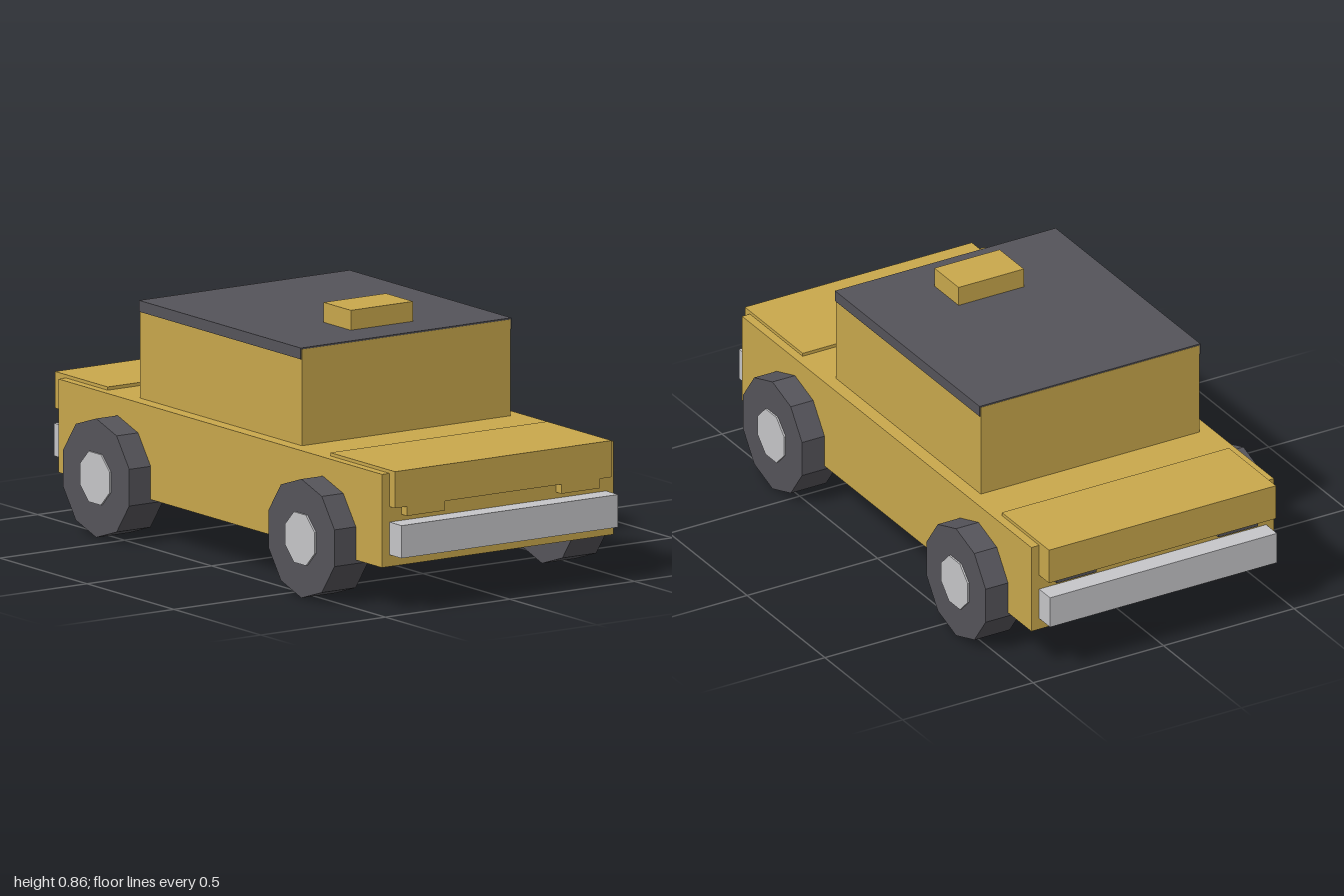
import * as THREE from 'three';

const material = (name, color) => {
  const m = new THREE.MeshStandardMaterial({ color });
  m.name = name;
  return m;
};

export function createModel() {
  const car = new THREE.Group();
  car.name = 'car';
  const gold = material('gold paint', 0xc9a84c);
  const dark = material('dark grey', 0x55545a);
  const silver = material('silver', 0xc6c6c9);

  // Box given by its lower and upper limits on each axis
  const box = (name, mat, [x0, x1], [y0, y1], [z0, z1]) => {
    const mesh = new THREE.Mesh(new THREE.BoxGeometry(x1 - x0, y1 - y0, z1 - z0), mat);
    mesh.position.set((x0 + x1) / 2, (y0 + y1) / 2, (z0 + z1) / 2);
    mesh.name = name;
    car.add(mesh);
  };

  // Body shell
  box('body', gold, [-0.465, 0.465], [0.15, 0.464], [-0.93, 0.93]);
  box('hood', gold, [-0.435, 0.435], [0.352, 0.475], [0.59, 0.962]);
  box('trunkLid', gold, [-0.435, 0.435], [0.352, 0.475], [-0.993, -0.69]);

  // Cabin, roof panel and roof sign
  box('cabin', gold, [-0.419, 0.419], [0.46, 0.788], [-0.528, 0.404]);
  box('roof', dark, [-0.423, 0.423], [0.755, 0.793], [-0.527, 0.403]);
  box('roofSign', gold, [-0.125, 0.125], [0.79, 0.86], [0.108, 0.264]);

  // Bumpers
  box('frontBumper', silver, [-0.435, 0.435], [0.19, 0.3], [0.93, 1]);
  box('rearBumper', silver, [-0.435, 0.435], [0.19, 0.3], [-1, -0.93]);

  // Lamps tucked under the hood and trunk lid
  for (const s of [-1, 1]) {
    const span = [s * 0.31 - 0.076, s * 0.31 + 0.076];
    box('headlight', gold, span, [0.32, 0.36], [0.92, 0.961]);
    box('tailLight', dark, span, [0.322, 0.36], [-0.96, -0.92]);
  }

  // Wheels: ten-sided tyre with an eight-sided hub running through it
  const tyreGeo = new THREE.CylinderGeometry(0.2, 0.2, 0.136, 10).toNonIndexed();
  const hubGeo = new THREE.CylinderGeometry(0.092, 0.092, 0.148, 8).toNonIndexed();
  hubGeo.rotateY(Math.PI / 8);
  for (const geo of [tyreGeo, hubGeo]) {
    geo.rotateY(Math.PI / 2); // a tyre corner at the very top
    geo.rotateZ(Math.PI / 2);
    geo.computeVertexNormals();
  }
  for (const x of [-0.483, 0.483]) {
    for (const z of [-0.59, 0.59]) {
      const wheel = new THREE.Group();
      wheel.name = (z > 0 ? 'front' : 'rear') + (x > 0 ? 'Left' : 'Right') + 'Wheel';
      const tyre = new THREE.Mesh(tyreGeo, dark);
      tyre.name = 'tyre';
      const hub = new THREE.Mesh(hubGeo, silver);
      hub.name = 'hub';
      wheel.add(tyre, hub);
      wheel.position.set(x, 0.2, z);
      car.add(wheel);
    }
  }
  return car;
}
